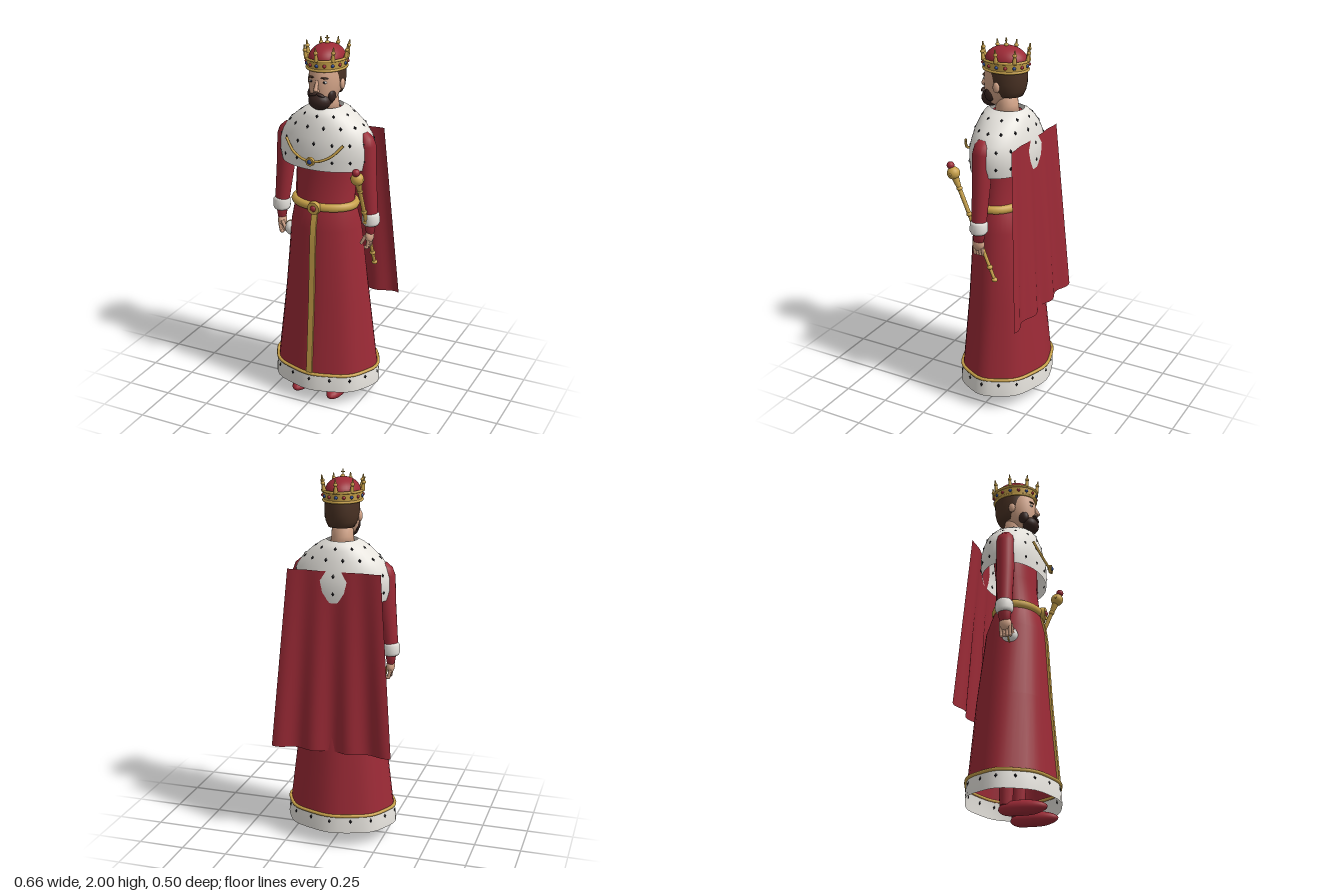
import * as THREE from 'three';
import { mergeVertices } from 'three/addons/utils/BufferGeometryUtils.js';

const mat = (name, color, side = THREE.FrontSide) => {
  const m = new THREE.MeshStandardMaterial({ color, side });
  m.name = name;
  return m;
};
const lerp = THREE.MathUtils.lerp;
const V = (x, y, z) => new THREE.Vector3(x, y, z);

// A ring is [y, radiusX, radiusZ, centreZ, foldDepth, centreX]; lists run from top to bottom.
function ringPoint(ring, a) {
  const [y, rx, rz, cz = 0, fold = 0, cx = 0] = ring;
  const k = 1 + fold * Math.cos(8 * a);
  return V(cx + Math.sin(a) * rx * k, y, cz + Math.cos(a) * rz * k);
}
function ringAt(rings, y) {
  let i = 0;
  while (i < rings.length - 2 && y < rings[i + 1][0]) i++;
  const a = rings[i], b = rings[i + 1], t = (y - a[0]) / (b[0] - a[0]);
  return [0, 1, 2, 3, 4, 5].map((j) => lerp(a[j] ?? 0, b[j] ?? 0, t));
}
function loft(rings, n = 32, open = false) {
  const all = open ? rings : [[rings[0][0], 1e-4, 1e-4, ...rings[0].slice(3)], ...rings,
    [rings.at(-1)[0], 1e-4, 1e-4, ...rings.at(-1).slice(3)]];
  const g = new THREE.CylinderGeometry(1, 1, 1, n, all.length - 1, true);
  const p = g.attributes.position;
  for (let i = 0; i < p.count; i++) {
    const v = ringPoint(all[Math.floor(i / (n + 1))], ((i % (n + 1)) % n) / n * Math.PI * 2);
    p.setXYZ(i, v.x, v.y, v.z);
  }
  g.deleteAttribute('uv');
  g.deleteAttribute('normal');
  const m = mergeVertices(g, 1e-6);
  m.computeVertexNormals();
  return m;
}
// Tube running round a ring
function hoop(ring, radius, n = 48) {
  const pts = Array.from({ length: n }, (_, i) => ringPoint(ring, i / n * Math.PI * 2));
  return new THREE.TubeGeometry(new THREE.CatmullRomCurve3(pts, true), n, radius, 8, true);
}

export function createModel() {
  const model = new THREE.Group();
  model.name = 'king';
  const red = mat('red cloth', 0x9c2a36, THREE.DoubleSide);
  const white = mat('white fur', 0xe6e3dd, THREE.DoubleSide);
  const gold = mat('gold', 0xc9a24a, THREE.DoubleSide);
  const skin = mat('skin', 0xd3a488);
  const hairBrown = mat('hair brown', 0x4a3224);
  const beardBrown = mat('beard brown', 0x35231f);
  const black = mat('black', 0x17161a);
  const blue = mat('blue gem', 0x2a468c);

  const add = (name, geo, material, pos = [0, 0, 0], scale = [1, 1, 1]) => {
    const m = new THREE.Mesh(geo, material);
    m.name = name;
    m.position.set(...pos);
    m.scale.set(...scale);
    model.add(m);
    return m;
  };
  const ball = new THREE.SphereGeometry(1, 20, 14);
  const blob = (name, material, pos, scale) => add(name, ball, material, pos, scale);
  const rod = (name, material, a, b, r0, r1 = r0) => {
    const m = add(name, new THREE.CylinderGeometry(r1, r0, a.distanceTo(b), 10), material);
    m.position.copy(a).lerp(b, 0.5);
    m.quaternion.setFromUnitVectors(V(0, 1, 0), b.clone().sub(a).normalize());
    return m;
  };

  // Robe with fur hem
  const robe = [[1.625, .075, .075], [1.58, .13, .1], [1.5, .19, .115, .005], [1.3, .165, .105, .015],
    [1.13, .162, .115, .025], [1.1, .172, .13, .022], [1, .192, .16, .015], [.6, .235, .195, 0, .01],
    [.17, .288, .231, -.003, .015]];
  add('robe', loft([...robe], 40, true), red);
  add('collar', new THREE.CircleGeometry(.075, 24).rotateX(-Math.PI / 2), red, [0, 1.624, 0]);
  const hem = [[.178, .29, .233, -.003, .015], [.13, .299, .239, -.002, .015], [.08, .302, .241, -.002, .015]];
  add('furHem', loft(hem, 40, true), white);
  add('hemTrim', hoop([.178, .293, .236, -.003, .015], .009), gold);

  // Gold band down the front of the robe
  const band = new THREE.BoxGeometry(.032, .93, .014, 1, 12, 1);
  const bp = band.attributes.position;
  for (let i = 0; i < bp.count; i++) {
    const y = bp.getY(i) + .645;
    bp.setXYZ(i, bp.getX(i), y, ringPoint(ringAt(robe, y), 0).z + bp.getZ(i) + .002);
  }
  band.computeVertexNormals();
  add('frontBand', band, gold);

  // Belt and buckle
  add('belt', hoop([1.125, .166, .117, .027], .023), gold);
  add('buckle', new THREE.CylinderGeometry(.033, .036, .024, 20).rotateX(Math.PI / 2), gold, [0, 1.125, .166]);
  blob('buckleGem', red, [0, 1.125, .178], [.016, .016, .01]);

  // Fur shoulder cape
  const mantle = [[1.642, .08, .09], [1.625, .115, .115], [1.6, .153, .131], [1.55, .21, .149], [1.5, .245, .16],
    [1.45, .262, .17], [1.39, .262, .171], [1.335, .25, .167, .003]];
  add('furMantle', loft(mantle, 48, true), white);

  // Dark spots on the fur
  const spot = new THREE.OctahedronGeometry(1);
  const spots = (rings, y, n, shift) => {
    for (let i = 0; i < n; i++) {
      const a = (i + shift) / n * Math.PI * 2;
      const p = ringPoint(ringAt(rings, y), a);
      const up = ringPoint(ringAt(rings, y + .01), a).sub(p);
      const across = ringPoint(ringAt(rings, y), a + .02).sub(p);
      const m = add('furSpot', spot, black, p.toArray(), [.009, .012, .005]);
      m.lookAt(p.clone().add(across.cross(up).normalize()));
    }
  };
  spots(mantle, 1.61, 10, 0);
  spots(mantle, 1.555, 14, .5);
  spots(mantle, 1.475, 16, 0);
  spots(mantle, 1.385, 16, 0);
  spots(hem, .145, 16, 0);

  // Chain and pendant
  const chain = new THREE.CatmullRomCurve3([V(-.16, 1.485, .155), V(-.11, 1.43, .182), V(-.05, 1.4, .198),
    V(0, 1.393, .203), V(.05, 1.4, .198), V(.11, 1.43, .182), V(.16, 1.485, .155)]);
  add('chain', new THREE.TubeGeometry(chain, 32, .007, 8), gold);
  add('pendant', new THREE.CylinderGeometry(.022, .024, .016, 20).rotateX(Math.PI / 2), gold, [0, 1.393, .207]);
  blob('pendantGem', blue, [0, 1.393, .215], [.012, .012, .008]);

  // Long back cape, folds deepening towards its bottom edge
  const cape = new THREE.PlaneGeometry(2, 1, 40, 14);
  const cp = cape.attributes.position;
  for (let i = 0; i < cp.count; i++) {
    const u = cp.getX(i), v = .5 - cp.getY(i);
    cp.setXYZ(i, u * lerp(.25, .33, v), lerp(1.5, .535, v),
      lerp(-.157, -.213, v) + (.003 + .011 * v) * Math.cos(u / .6 * Math.PI * 2));
  }
  cape.computeVertexNormals();
  add('backCape', cape, red);

  // Arms, legs and shoes
  const shoe = new THREE.SphereGeometry(1, 24, 16);
  const sp = shoe.attributes.position;
  for (let i = 0; i < sp.count; i++) {
    const t = sp.getZ(i) * .5 + .5;
    const w = lerp(.038, .05, t);
    sp.setXYZ(i, sp.getX(i) * w, Math.max(0, .032 + sp.getY(i) * lerp(.046, .036, t)), .075 + sp.getZ(i) * .126);
  }
  shoe.computeVertexNormals();
  for (const s of [-1, 1]) {
    const side = s > 0 ? 'left' : 'right';
    add(side + 'Sleeve', loft([[1.525, .025, .025, .02, 0, s * .21], [1.5, .042, .042, .02, 0, s * .222],
      [1.46, .05, .05, .02, 0, s * .229], [1.3, .05, .048, .022, 0, s * .235], [1.1, .04, .04, .025, 0, s * .257],
      [1.03, .028, .036, .026, 0, s * .26], [.98, .02, .028, .028, 0, s * .26]], 20), red);
    add(side + 'Cuff', loft([[1.098, .038, .038, .025, 0, s * .26], [1.085, .046, .047, .025, 0, s * .261],
      [1.045, .047, .048, .025, 0, s * .262], [1.03, .04, .04, .025, 0, s * .262]], 20), white);
    blob(side + 'Palm', skin, [s * .258, .965, .03], [.022, .038, .034]);
    for (let f = 0; f < 4; f++) {
      const z = .006 + f * .016;
      rod(side + 'Finger', skin, V(s * .262, .95, z), V(s * .255, .91, z), .009, .008);
      blob(side + 'Fingertip', skin, [s * .25, .907, z], [.013, .01, .009]);
    }
    rod(side + 'Thumb', skin, V(s * .245, .97, .055), V(s * .222, .925, .06), .01, .008);
    rod(side + 'Leg', red, V(s * .105, .05, -.01), V(s * .105, .6, -.005), .034, .06);
    add(side + 'Shoe', shoe, red, [s * .105, 0, 0]);
  }

  // Sceptre in the left hand
  const low = V(.25, .775, -.06), high = V(.25, 1.33, .178);
  const along = (t) => low.clone().lerp(high, t);
  rod('sceptreShaft', gold, low, high, .009, .012);
  for (const t of [0, .12, .5, .62, .86]) blob('sceptreCollar', gold, along(t).toArray(), [.016, .013, .016]);
  rod('sceptreNeck', gold, along(.86), along(1), .012, .022);
  blob('sceptreHead', gold, high.toArray(), [.034, .034, .034]);
  blob('sceptreGem', red, along(1.07).toArray(), [.02, .02, .02]);
  for (const s of [-1, 1]) blob('sceptreStud', gold, [.25 + s * .034, 1.33, .178], [.006, .006, .006]);

  // Orb by the right hand
  blob('orb', white, [-.193, .93, .035], [.042, .042, .042]);
  add('orbBand', new THREE.TorusGeometry(.042, .004, 8, 32), gold, [-.193, .93, .035]);

  // Neck and head
  add('neck', loft([[1.74, .055, .055, .01], [1.66, .058, .058, 0], [1.6, .066, .066, 0]], 24), skin);
  add('head', loft([[1.88, .07, .085, .018], [1.83, .082, .103, .02], [1.78, .084, .106, .02], [1.74, .08, .1, .025],
    [1.7, .068, .08, .04], [1.665, .048, .056, .055], [1.65, .025, .03, .06]], 32), skin);
  add('hair', loft([[1.89, .086, .1, -.002], [1.83, .09, .106, -.002], [1.78, .09, .102, -.005],
    [1.74, .083, .085, -.013], [1.71, .068, .062, -.022]], 32), hairBrown);
  blob('beard', beardBrown, [0, 1.682, .092], [.06, .046, .05]);
  for (const s of [-1, 1]) {
    blob('beardSide', beardBrown, [s * .055, 1.712, .07], [.02, .036, .03]);
    const m = blob('moustache', beardBrown, [s * .02, 1.722, .126], [.024, .008, .012]);
    m.rotation.z = -s * .25;
    blob('ear', skin, [s * .09, 1.763, .015], [.012, .028, .019]);
    blob('eyeWhite', white, [s * .036, 1.787, .112], [.014, .007, .006]);
    blob('eyePupil', black, [s * .036, 1.787, .116], [.006, .006, .004]);
    const brow = blob('eyebrow', hairBrown, [s * .037, 1.808, .114], [.02, .005, .007]);
    brow.rotation.set(0, s * .3, -s * .08);
    blob('nostril', skin, [s * .009, 1.744, .13], [.008, .007, .01]);
  }
  rod('noseBridge', skin, V(0, 1.795, .122), V(0, 1.75, .139), .007, .012);
  blob('noseTip', skin, [0, 1.75, .139], [.012, .01, .012]);

  // Crown with cap, points and gems
  const rim = [[1.895, .104, .124, .008], [1.845, .098, .118, .008]];
  add('crownBand', loft(rim, 40, true), gold);
  rim.forEach((r) => add('crownRim', hoop(r, .007), gold));
  add('crownCap', new THREE.SphereGeometry(1, 32, 12, 0, Math.PI * 2, 0, Math.PI / 2), red,
    [0, 1.885, .006], [.092, .077, .114]);
  for (let i = 0; i < 8; i++) {
    const a = i / 8 * Math.PI * 2;
    const foot = ringPoint([1.895, .104, .124, .008], a), tip = ringPoint([1.965, .115, .134, .008], a);
    rod('crownPoint', gold, foot, tip, .012, .003);
    blob('crownKnob', gold, foot.clone().lerp(tip, .6).toArray(), [.011, .01, .011]);
  }
  for (let i = 0; i < 16; i++) {
    const p = ringPoint(ringAt(rim, 1.87), i / 16 * Math.PI * 2);
    blob('crownGem', i % 2 ? red : blue, p.toArray(), [.009, .009, .009]);
  }
  blob('finial', gold, [0, 1.964, .006], [.012, .01, .012]);
  add('crossUpright', new THREE.BoxGeometry(.005, .036, .005), gold, [0, 1.982, .006]);
  add('crossBar', new THREE.BoxGeometry(.02, .005, .005), gold, [0, 1.987, .006]);

  return model;
}
